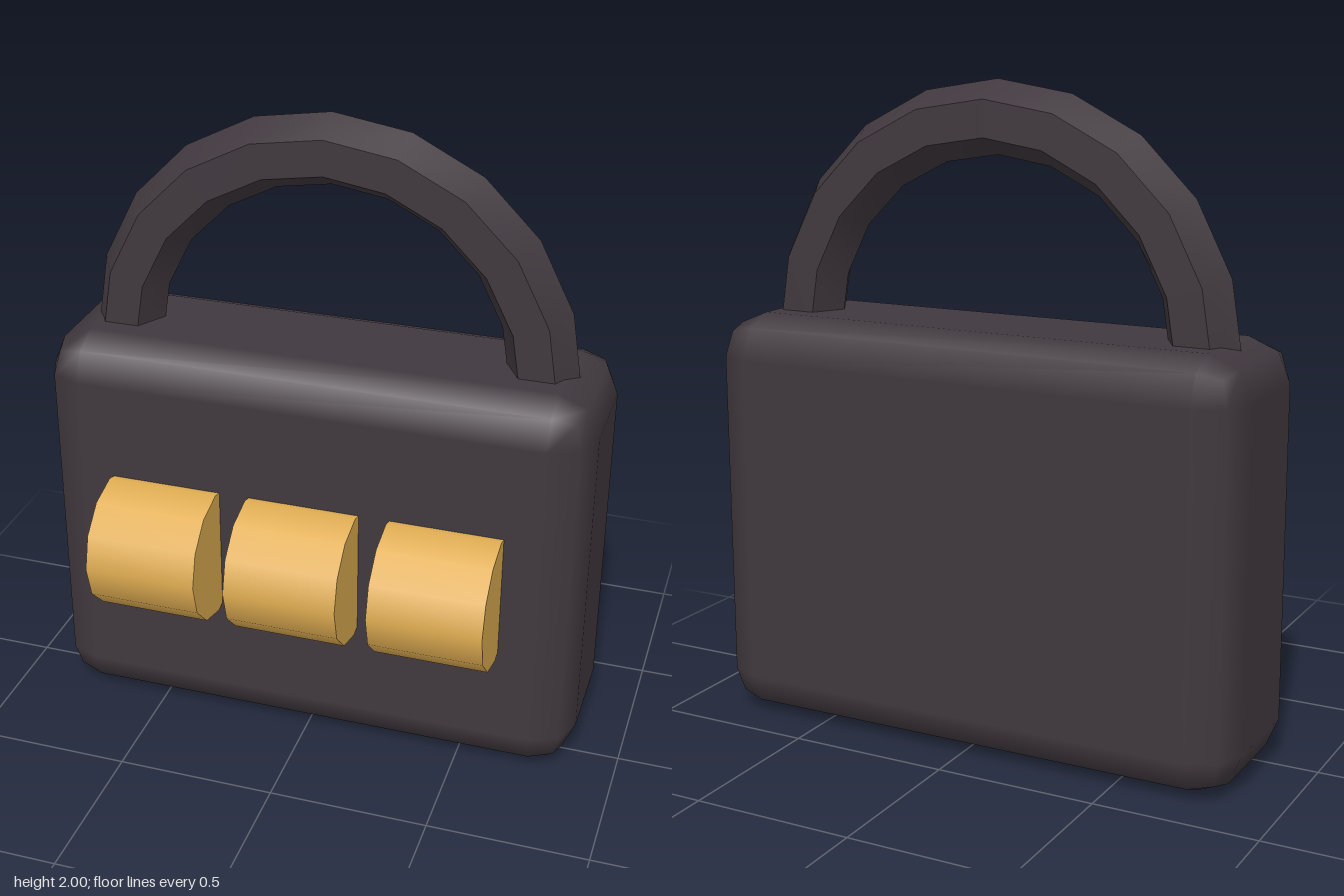
import * as THREE from 'three';
import { toCreasedNormals } from 'three/addons/utils/BufferGeometryUtils.js';
import { RoundedBoxGeometry } from 'three/addons/geometries/RoundedBoxGeometry.js';

export function createModel() {
  const model = new THREE.Group();
  model.name = 'padlock';

  const darkMetal = new THREE.MeshStandardMaterial({ color: 0x40383e });
  darkMetal.name = 'darkMetal';
  const brass = new THREE.MeshStandardMaterial({ color: 0xe0ad52 });
  brass.name = 'brass';

  function add(name, geometry, material, x, y, z) {
    const mesh = new THREE.Mesh(geometry, material);
    mesh.name = name;
    mesh.position.set(x, y, z);
    model.add(mesh);
    return mesh;
  }

  const bodyZ = -0.12;

  // Body: block with softly rounded edges
  add('body', new RoundedBoxGeometry(1.724, 1.28, 0.57, 1, 0.13), darkMetal, 0, 0.64, bodyZ);

  // Shackle: half ring of hexagonal bar, its ends sunk into the body
  const ring = toCreasedNormals(new THREE.TorusGeometry(0.665, 0.11, 6, 10, Math.PI), 0.6);
  add('shackle', ring, darkMetal, 0, 1.225, bodyZ);

  // Dials: three twelve-sided wheels set into the front
  const wheel = new THREE.CylinderGeometry(0.21, 0.21, 0.352, 12).rotateZ(Math.PI / 2);
  ['rightDial', 'middleDial', 'leftDial'].forEach((name, i) => {
    add(name, wheel, brass, (i - 1) * 0.448, 0.642, 0.198);
  });

  return model;
}
